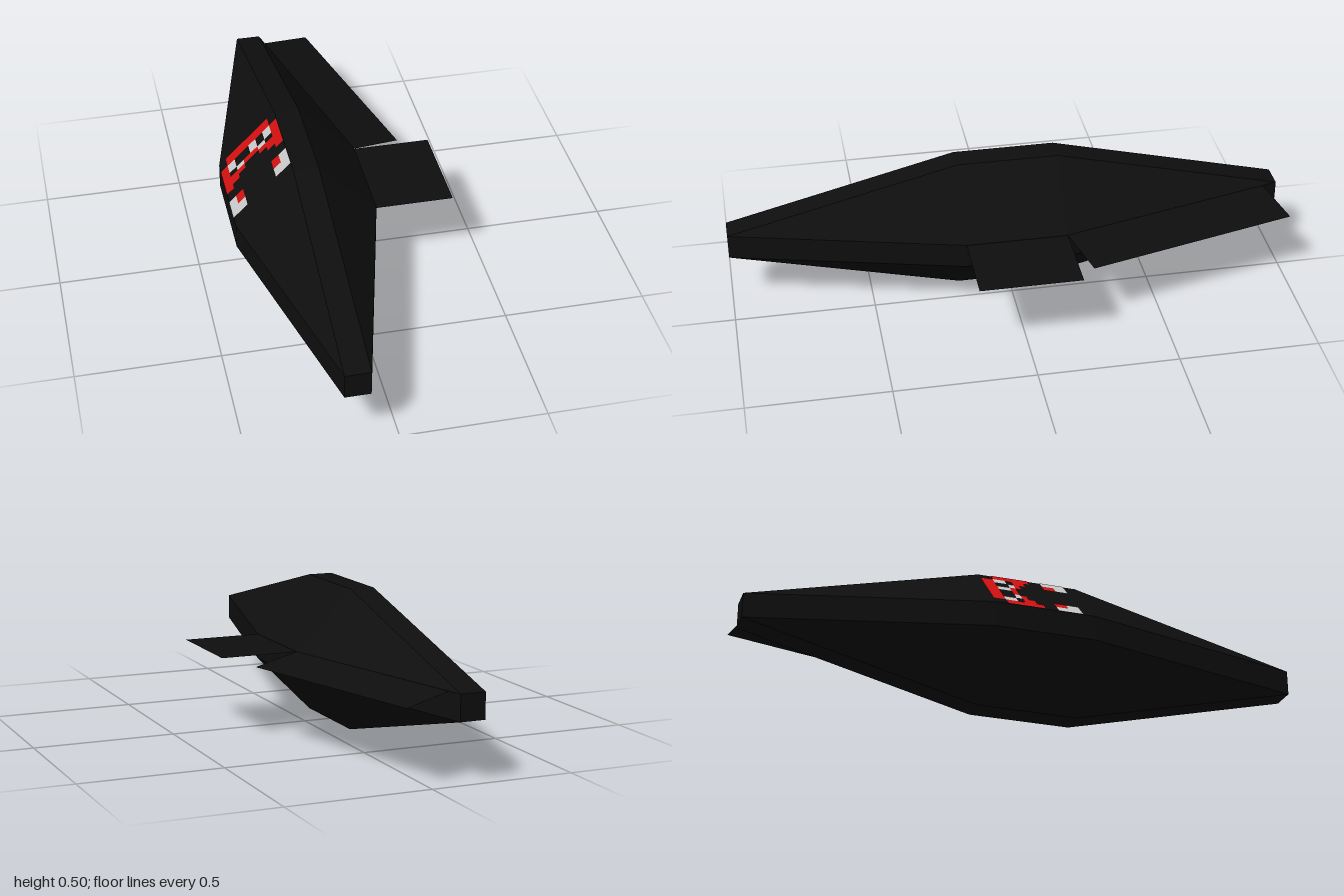
import * as THREE from 'three';
import { mergeGeometries } from 'three/addons/utils/BufferGeometryUtils.js';
import { ConvexGeometry } from 'three/addons/geometries/ConvexGeometry.js';

export function createModel() {
  const model = new THREE.Group();
  const black = new THREE.MeshStandardMaterial({ color: 0x0e0e0e, side: THREE.DoubleSide });
  black.name = 'black';
  const red = new THREE.MeshStandardMaterial({ color: 0xd01010 });
  red.name = 'red';
  const white = new THREE.MeshStandardMaterial({ color: 0xc8c8c8 });
  white.name = 'pale grey';

  const add = (name, geometry, material, parent = model) => {
    const mesh = new THREE.Mesh(geometry, material);
    mesh.name = name;
    parent.add(mesh);
    return mesh;
  };

  // Hull: a stretched, bevelled box wrapped around three crossing slabs
  const cx = -0.139, cy = 0.25;
  const core = [0.044, 0.045, 0.18], reach = [0.248, 0.25, 1];
  const points = [];
  for (let axis = 0; axis < 3; axis++) {
    const half = core.map((c, i) => (i === axis ? reach[i] : c));
    for (const sx of [-1, 1]) for (const sy of [-1, 1]) for (const sz of [-1, 1]) {
      points.push(new THREE.Vector3(cx + sx * half[0], cy + sy * half[1], sz * half[2]));
    }
  }
  add('hull', new ConvexGeometry(points), black);

  // Thin fins on one flank, each a single flat quad
  const quad = (a, b, c, d) => {
    const g = new THREE.BufferGeometry();
    g.setAttribute('position', new THREE.Float32BufferAttribute([a, b, c, a, c, d].flat(), 3));
    g.computeVertexNormals();
    return g;
  };
  add('sideFin', quad(
    [0.109, 0.294, 0.18], [0.384, 0.294, 0.18], [0.384, 0.294, -0.18], [0.109, 0.294, -0.18]), black);
  add('rearFin', quad(
    [0.109, 0.295, -0.18], [0.284, 0.266, -0.238], [0.092, 0.266, -1], [-0.086, 0.295, -0.945]), black);

  // Painted face on the opposite upper bevel: rows run back to front, columns run up the slope
  const rows = [
    '.RRRRRR.',
    '.RRRRRR.',
    'RW..W.WR',
    'RW..W.WR',
    'R.WRRW.R',
    'RRR..RRR',
    'RR....RR',
    'R......R',
    '........',
    '........',
    'WR....RW',
    'WR....RW',
    'WW....WW',
    'WW....WW',
  ];
  const slope = Math.hypot(reach[0] - core[0], reach[1] - core[1]);
  const cellW = slope / 8, cellH = 0.36 / 16;
  const face = new THREE.Group();
  face.name = 'paintedFace';
  const up = new THREE.Vector3(reach[0] - core[0], reach[1] - core[1], 0).normalize();
  const back = new THREE.Vector3(0, 0, -1);
  const out = up.clone().cross(back);
  face.quaternion.setFromRotationMatrix(new THREE.Matrix4().makeBasis(up, back, out));
  face.position.set(cx - (reach[0] + core[0]) / 2, cy + (reach[1] + core[1]) / 2, 0).addScaledVector(out, 0.002);
  model.add(face);

  const cells = (key) => {
    const list = [];
    rows.forEach((row, r) => [...row].forEach((ch, c) => {
      if (ch !== key) return;
      list.push(new THREE.PlaneGeometry(cellW, cellH)
        .translate((c - 3.5) * cellW, 0.18 - (r + 0.5) * cellH, 0));
    }));
    return mergeGeometries(list);
  };
  add('mouthPaint', cells('R'), red, face);
  add('teethAndEyePaint', cells('W'), white, face);

  return model;
}
